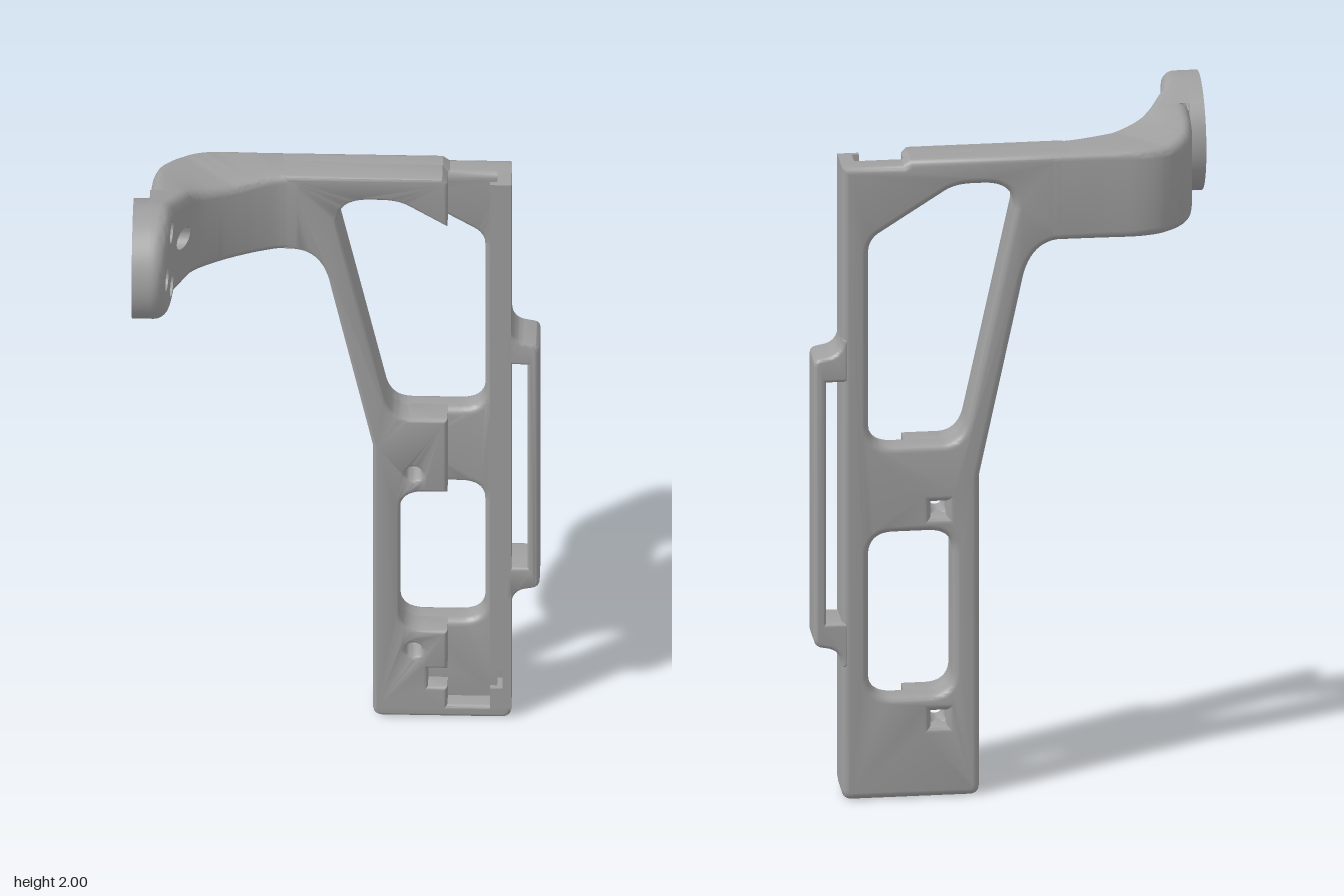
import * as THREE from 'three';
import { toCreasedNormals } from 'three/addons/utils/BufferGeometryUtils.js';

const grey = new THREE.MeshStandardMaterial({ color: 0xa0a0a0, side: THREE.DoubleSide });
grey.name = 'grey';

// Shape from points: [x, y] is a line, [cx, cy, x, y] a quadratic curve
function outline(points, Kind = THREE.Shape) {
  const s = new Kind();
  points.forEach((p, i) => {
    if (i === 0) s.moveTo(p[0], p[1]);
    else if (p.length === 2) s.lineTo(p[0], p[1]);
    else s.quadraticCurveTo(...p);
  });
  s.closePath();
  return s;
}

const circle = (x, y, r) => new THREE.Path().absarc(x, y, r, 0, Math.PI * 2, true);

// Slab between two depths with softened edges that stay inside the outline
function slab(shape, z0, z1, bevel) {
  const g = new THREE.ExtrudeGeometry(shape, {
    depth: z1 - z0 - 2 * bevel, bevelEnabled: bevel > 0, bevelThickness: bevel,
    bevelSize: bevel, bevelOffset: -bevel, bevelSegments: 4, curveSegments: 12,
  });
  g.translate(0, 0, z0 + bevel);
  return toCreasedNormals(g, 0.6);
}

// Surface through equal rows of points
function grid(rows) {
  const n = rows[0].length, index = [];
  for (let j = 0; j < rows.length - 1; j++) {
    for (let i = 0; i < n - 1; i++) {
      const a = j * n + i, b = a + n;
      index.push(a, a + 1, b, b, a + 1, b + 1);
    }
  }
  const g = new THREE.BufferGeometry();
  g.setAttribute('position', new THREE.Float32BufferAttribute(rows.flat(2), 3));
  g.setIndex(index);
  return toCreasedNormals(g, 0.6);
}

const BACK = -0.28, FLOOR = -0.205, FRONT = -0.155;

// Mounting head: circle centre, radius, edge rounding, slope of the upper taper
const CZ = 0.11, CY = 1.83, R = 0.17, EDGE = 0.036, SLOPE = Math.atan(0.3);
const CUT = 0.06, END = -0.03;
const HOLES = [[0.015, CY], [0.205, CY], [CZ, CY + 0.095], [CZ, CY - 0.095]];
const topAt = (z, r) => CY + (r + (z - CZ) * Math.sin(SLOPE)) / Math.cos(SLOPE);
const faceX = z => z < CUT
  ? THREE.MathUtils.mapLinear(z, END, CUT, -0.405, -0.455)
  : THREE.MathUtils.mapLinear(z, CUT, 0.28, -0.455, -0.48);

function headRing(r) {
  const pts = [[END, CY - r], [CUT, CY - r]];
  for (let i = 0; i <= 32; i++) {
    const a = -Math.PI / 2 + (Math.PI + SLOPE) * i / 32;
    pts.push([CZ + r * Math.cos(a), CY + r * Math.sin(a)]);
  }
  pts.push([CUT, topAt(CUT, r)], [END, topAt(END, r)]);
  return pts;
}

// Face in the z-y plane, pushed to x = at(z)
function panel(pts, holes, r, at) {
  const s = outline(pts.map(([z, y]) => [-z, y]));
  holes.forEach(([z, y]) => s.holes.push(circle(-z, y, r)));
  const g = new THREE.ShapeGeometry(s, 16).rotateY(Math.PI / 2);
  const p = g.attributes.position;
  for (let i = 0; i < p.count; i++) p.setX(i, at(p.getZ(i)));
  g.computeVertexNormals();
  return g;
}

// Rounded rectangle section standing between outer and inner points in plan
function armSection(o, i, y0, y1, r) {
  const w = Math.hypot(i.x - o.x, i.z - o.z), pts = [];
  const corners = [[w - r, y1 - r], [r, y1 - r], [r, y0 + r], [w - r, y0 + r]];
  corners.forEach(([u, y], k) => {
    for (let j = 0; j <= 5; j++) {
      const a = (k + j / 5) * Math.PI / 2, t = (u + r * Math.cos(a)) / w;
      pts.push([o.x + (i.x - o.x) * t, y + r * Math.sin(a), o.z + (i.z - o.z) * t]);
    }
  });
  pts.push(pts[0]);
  return pts;
}

export function createModel() {
  const model = new THREE.Group();
  model.name = 'bracket';
  const add = (name, geometry) => {
    const m = new THREE.Mesh(geometry, grey);
    m.name = name;
    model.add(m);
  };

  // Left edge shared by both layers, from the arm down to the foot
  const leftEdge = [[-0.15, 1.92], [-0.15, 1.66], [-0.12, 1.66], [-0.04, 1.65, -0.02, 1.53], [0.1, 0.96], [0.1, 0.03]];

  // Back layer with windows and nut pockets
  const back = outline([[0.13, 0], [0.46, 0], [0.49, 0, 0.49, 0.03], [0.49, 1.905], [0.315, 1.905], [0.295, 1.92],
    ...leftEdge, [0.1, 0, 0.13, 0]]);
  back.holes.push(outline([[0, 1.76], [0, 1.84, 0.09, 1.84], [0.12, 1.84], [0.17, 1.84, 0.2, 1.82], [0.38, 1.705],
    [0.415, 1.685, 0.415, 1.64], [0.415, 1.13], [0.415, 1.06, 0.345, 1.06], [0.21, 1.06],
    [0.15, 1.06, 0.135, 1.13]], THREE.Path));
  back.holes.push(outline([[0.245, 0.305], [0.345, 0.305], [0.415, 0.305, 0.415, 0.375], [0.415, 0.73],
    [0.415, 0.8, 0.345, 0.8], [0.245, 0.8], [0.175, 0.8, 0.175, 0.73], [0.175, 0.375],
    [0.175, 0.305, 0.245, 0.305]], THREE.Path));
  for (const y of [0.235, 0.865]) {
    back.holes.push(outline([[0.193, y - 0.022], [0.237, y - 0.022], [0.237, y + 0.022], [0.193, y + 0.022]], THREE.Path));
  }
  add('backPlate', slab(back, BACK, FLOOR, 0.02));

  // Front layer left of the channel, with latch notch and screw holes
  const front = outline([[0.13, 0], [0.46, 0], [0.49, 0, 0.49, 0.03], [0.49, 0.04], [0.31, 0.04], [0.31, 0.105],
    [0.255, 0.105], [0.255, 0.17], [0.31, 0.17], [0.31, 0.305], [0.245, 0.305], [0.175, 0.305, 0.175, 0.375],
    [0.175, 0.73], [0.175, 0.8, 0.245, 0.8], [0.31, 0.8], [0.31, 1.06], [0.21, 1.06], [0.15, 1.06, 0.135, 1.13],
    [0, 1.76], [0, 1.84, 0.09, 1.84], [0.12, 1.84], [0.17, 1.84, 0.2, 1.82], [0.31, 1.75], [0.31, 1.905],
    [0.295, 1.92], ...leftEdge, [0.1, 0, 0.13, 0]]);
  for (const y of [0.235, 0.865]) front.holes.push(circle(0.215, y, 0.024));
  add('frontPlate', slab(front, -0.245, FRONT, 0.012));

  // Right rail with an overhanging lip along the channel
  const rail = x => outline([[x, 0.03], [0.49, 0.03], [0.49, 1.905], [x, 1.905], [x, 0.17], [0.465, 0.17], [0.465, 0.105], [x, 0.105]]);
  add('railWall', slab(rail(0.45), -0.23, -0.17, 0));
  add('railLip', slab(rail(0.43), -0.17, FRONT, 0));

  // Strap loop on the right side
  const loop = outline([[0.47, 0.4], [0.49, 0.4], [0.492, 0.45, 0.53, 0.458], [0.55, 0.462], [0.57, 0.467, 0.57, 0.49],
    [0.57, 1.31], [0.57, 1.33, 0.55, 1.333], [0.53, 1.337], [0.492, 1.345, 0.49, 1.39], [0.47, 1.39],
    [0.47, 1.26], [0.535, 1.26], [0.535, 0.535], [0.47, 0.535]]);
  add('strapLoop', slab(loop, BACK, FRONT, 0.012));

  // Curved arm swept from the plate to the head
  const plan = pts => new THREE.CatmullRomCurve3(pts.map(([x, z]) => new THREE.Vector3(x, 0, z)));
  const outer = plan([[-0.11, BACK], [-0.25, BACK], [-0.37, BACK], [-0.43, -0.265], [-0.475, -0.232], [-0.505, -0.19], [-0.52, -0.13], [-0.525, END]]);
  const inner = plan([[-0.11, FRONT], [-0.16, -0.152], [-0.22, -0.134], [-0.27, -0.113], [-0.32, -0.088], [-0.355, -0.067], [-0.38, -0.05], [-0.405, END]]);
  const rows = [];
  for (let k = 0; k <= 42; k++) {
    const t = k / 42, o = outer.getPoint(t), i = inner.getPoint(t);
    const top = Math.max(1.92, topAt((o.z + i.z) / 2, R));
    rows.push(armSection(o, i, CY - R, top, 0.02 + (EDGE - 0.02) * t));
  }
  add('arm', grid(rows));

  // Head: rounded rim, sloped face in two panels, back panel
  const rim = [headRing(R).map(([z, y]) => [-0.525, y, z])];
  for (let j = 0; j <= 6; j++) {
    const a = j / 6 * Math.PI / 2;
    rim.push(headRing(R - EDGE * (1 - Math.cos(a))).map(([z, y]) => [faceX(z) - EDGE * (1 - Math.sin(a)), y, z]));
  }
  add('headRim', grid(rim));
  const face = headRing(R - EDGE), last = face.length - 1;
  const bore = 0.033;
  add('headFace', panel(face.slice(1, last), HOLES.slice(1), bore, faceX));
  add('headSlope', panel([face[0], face[1], face[last - 1], face[last]], HOLES.slice(0, 1), bore, faceX));
  add('headBack', panel(headRing(R), HOLES, bore, () => -0.525));

  // Screw bores sunk into the head
  for (const [z, y] of HOLES) {
    const ring = at => Array.from({ length: 25 }, (_, i) => {
      const a = i / 24 * Math.PI * 2, pz = z + bore * Math.cos(a);
      return [at(pz), y + bore * Math.sin(a), pz];
    });
    add('screwBore', grid([ring(faceX), ring(() => -0.525)]));
  }

  // Mounting disc with four screw holes
  const disc = new THREE.Shape().absarc(-CZ, CY, R, 0, Math.PI * 2);
  HOLES.forEach(([z, y]) => disc.holes.push(circle(-z, y, 0.019)));
  const discGeometry = new THREE.ExtrudeGeometry(disc, { depth: 0.05, bevelEnabled: false, curveSegments: 32 });
  discGeometry.rotateY(Math.PI / 2).translate(-0.57, 0, 0);
  add('mountingDisc', toCreasedNormals(discGeometry, 0.6));

  return model;
}
